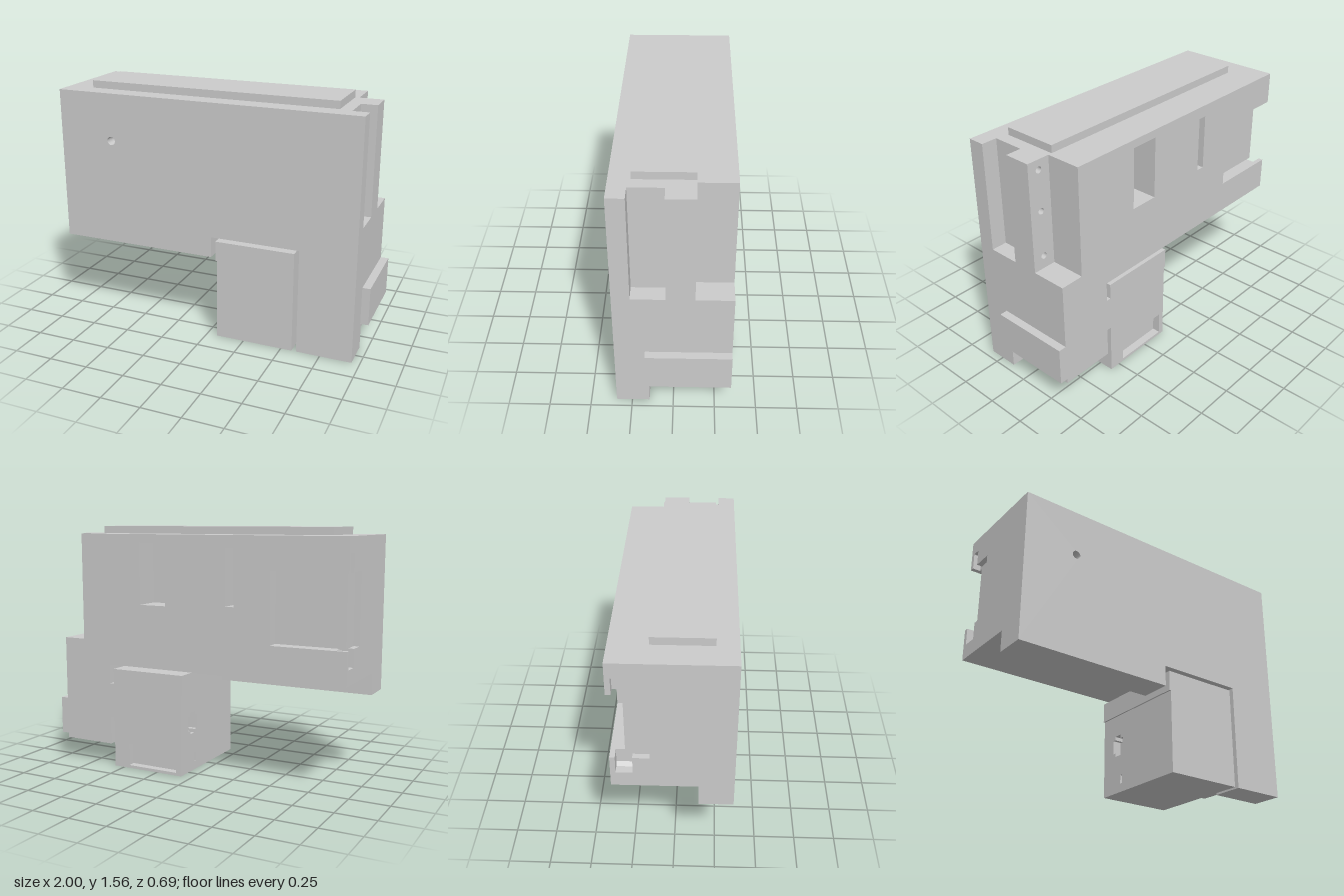
import * as THREE from 'three';
import { mergeGeometries } from 'three/addons/utils/BufferGeometryUtils.js';

const grey = new THREE.MeshStandardMaterial({ color: 0xcccccc, flatShading: true });

const polygon = (pts) => new THREE.Shape(pts.map(([x, y]) => new THREE.Vector2(x, y)));
const rect = (x0, x1, y0, y1) => polygon([[x0, y0], [x1, y0], [x1, y1], [x0, y1]]);
const circle = (x, y, r) => new THREE.Path().absarc(x, y, r, 0, Math.PI * 2, true);

// One slice: an outline with holes, extruded from z0 to z1
function slice(z0, z1, outline, holes = []) {
  const shape = polygon(outline);
  shape.holes.push(...holes);
  const geo = new THREE.ExtrudeGeometry(shape, { depth: z1 - z0, bevelEnabled: false, curveSegments: 12 });
  return geo.translate(0, 0, z0);
}

function addMesh(group, name, geometry) {
  const mesh = new THREE.Mesh(geometry, grey);
  mesh.name = name;
  group.add(mesh);
}

function addBox(group, name, [x0, x1], [y0, y1], [z0, z1]) {
  const geo = new THREE.BoxGeometry(x1 - x0, y1 - y0, z1 - z0);
  addMesh(group, name, geo.translate((x0 + x1) / 2, (y0 + y1) / 2, (z0 + z1) / 2));
}

// Housing outline: long body with one leg; upperX steps back the upper right
// end, endCut lists points that notch the left end (from top to bottom)
function housingOutline({ front = false, upperX = 0.95, endCut = [] }) {
  const belly = front ? 0.54 : 0.675, foot = front ? 0 : 0.145;
  const step = upperX < 0.95 ? [[0.95, 0.83], [upperX, 0.83]] : [];
  const underside = front ? [[-1, belly], [0.03, belly], [0.03, 0.672]] : [[-1, 0.675]];
  return [
    ...underside,
    [0.6, front ? 0.672 : 0.675], [0.6, foot], [0.95, foot],
    ...step, [upperX, 1.515], [-1, 1.515], ...endCut,
  ];
}

function housing() {
  const windowA = () => rect(0.176, 0.362, 1.075, 1.465);
  const windowB = () => rect(-0.295, -0.239, 1.093, 1.44);
  const wide = [[-1, 1.314], [-0.53, 1.314], [-0.53, 0.88], [-1, 0.88]];
  const wideWithPockets = [
    [-1, 1.42], [-0.95, 1.42], [-0.95, 1.314], [-0.53, 1.314], [-0.53, 0.88],
    [-0.93, 0.88], [-0.93, 0.79], [-0.95, 0.77], [-1, 0.77],
  ];
  const shallowWithPocket = [
    [-1, 1.314], [-0.965, 1.314], [-0.965, 0.88], [-0.93, 0.88],
    [-0.93, 0.79], [-0.95, 0.77], [-1, 0.77],
  ];
  const shallow = [[-1, 1.314], [-0.965, 1.314], [-0.965, 0.88], [-1, 0.88]];
  const back = (endCut) => housingOutline({ upperX: 0.8, endCut });
  return mergeGeometries([
    // back slices with windows and the recess at the left end
    slice(-0.345, -0.315, back(wide), [windowA(), windowB()]),
    slice(-0.315, -0.26, back(wideWithPockets), [windowA(), windowB()]),
    slice(-0.26, -0.22, back(shallowWithPocket), [windowA(), windowB()]),
    slice(-0.22, -0.175, back(shallow), [windowA(), windowB()]),
    slice(-0.175, -0.125, back(shallow), [windowB()]),
    // pillar with three screw holes
    slice(-0.125, -0.07, housingOutline({}), [1.453, 1.2, 0.91].map((y) => circle(0.875, y, 0.02))),
    slice(-0.07, 0.04, housingOutline({})),
    // slot in the right end
    slice(0.04, 0.145, housingOutline({ upperX: 0.85 })),
    slice(0.145, 0.24, housingOutline({ front: true, upperX: 0.85 })),
    // front wall with a round hole
    slice(0.24, 0.345, housingOutline({ front: true }), [circle(-0.645, 1.215, 0.027)]),
  ]);
}

// Lower box outline with a lip at the top left; cuts notch its left side
function boxOutline(cuts = []) {
  return [[0.07, 0], [0.57, 0], [0.57, 0.648], [0.06, 0.648], [0.06, 0.52], [0.07, 0.52], ...cuts];
}

function lowerBox() {
  const port = [[0.07, 0.383], [0.13, 0.383], [0.13, 0.245], [0.07, 0.245]];
  const slit = [[0.07, 0.11], [0.11, 0.11], [0.11, 0.055], [0.07, 0.055]];
  const narrowPort = [[0.07, 0.36], [0.13, 0.36], [0.13, 0.268], [0.07, 0.268]];
  return mergeGeometries([
    slice(-0.345, -0.295, boxOutline(), [rect(0.106, 0.46, 0.018, 0.163)]),
    slice(-0.295, -0.247, boxOutline()),
    slice(-0.247, -0.225, boxOutline(narrowPort)),
    slice(-0.225, -0.17, boxOutline(port)),
    slice(-0.17, -0.15, boxOutline([...narrowPort, ...slit])),
    slice(-0.15, -0.14, boxOutline(narrowPort)),
    slice(-0.14, 0.345, boxOutline()),
  ]);
}

export function createModel() {
  const model = new THREE.Group();
  model.name = 'housingUnit';
  addMesh(model, 'housing', housing());
  addMesh(model, 'lowerBox', lowerBox());
  addBox(model, 'topPad', [-0.83, 0.775], [1.515, 1.562], [-0.125, 0.222]);
  addBox(model, 'sidePlate', [0.95, 1], [0.175, 0.418], [-0.345, 0.165]);
  addBox(model, 'boxConnector', [0.57, 0.6], [0.33, 0.55], [-0.345, 0.145]);
  return model;
}
